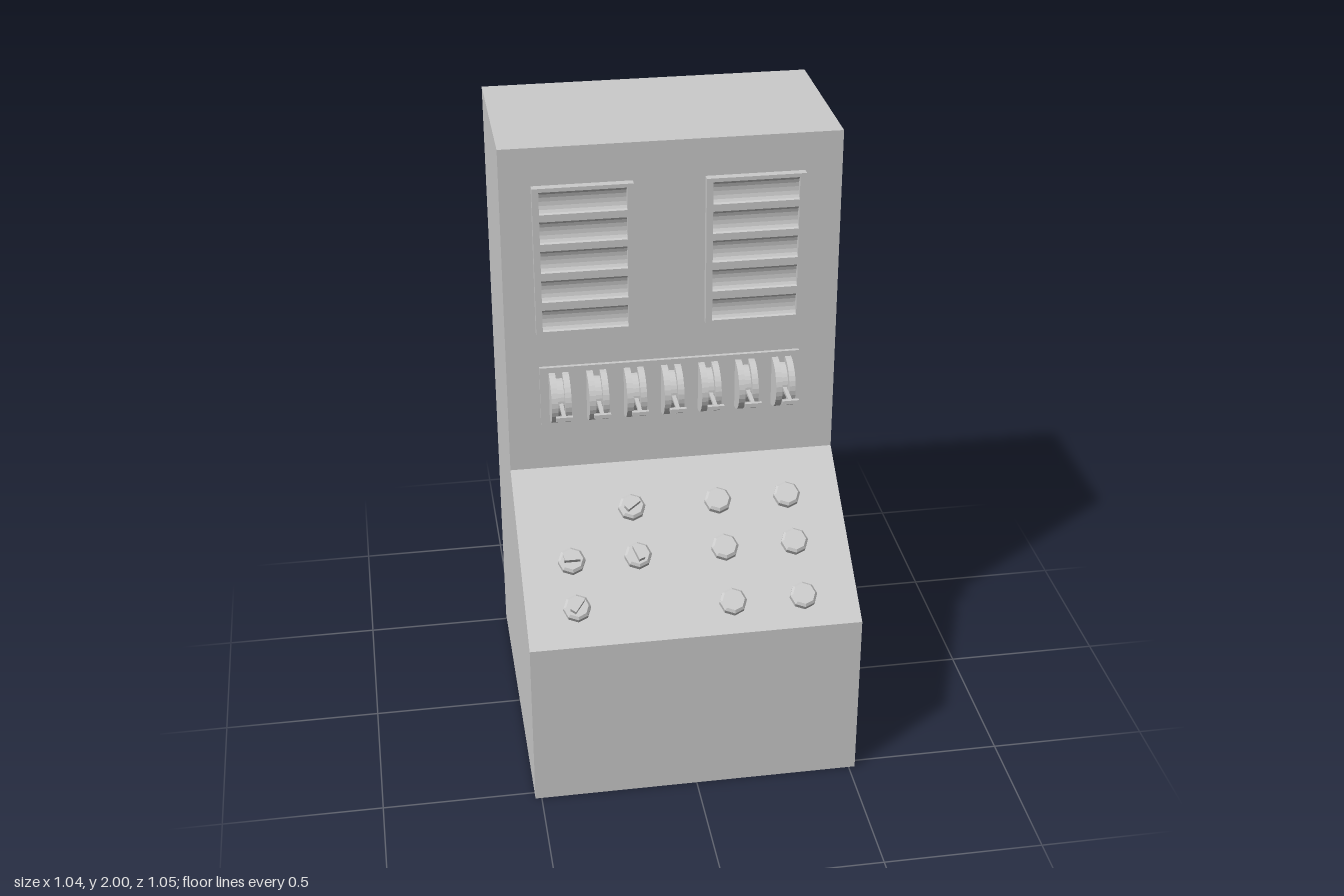
import * as THREE from 'three';

const mat = new THREE.MeshStandardMaterial({ color: 0xcccccc, flatShading: true });
const shell = new THREE.MeshStandardMaterial({ color: 0xcccccc, flatShading: true, side: THREE.DoubleSide });
const smooth = new THREE.MeshStandardMaterial({ color: 0xcccccc });

const HALF = 0.52;      // half width of the cabinet
const FRONT = 0.03;     // z of the upright front wall
const TILT = Math.atan2(0.355, 0.5);

function add(parent, name, geometry, x = 0, y = 0, z = 0, material = mat) {
  const mesh = new THREE.Mesh(geometry, material);
  mesh.name = name;
  mesh.position.set(x, y, z);
  parent.add(mesh);
  return mesh;
}

function group(parent, name, x = 0, y = 0, z = 0) {
  const g = new THREE.Group();
  g.name = name;
  g.position.set(x, y, z);
  parent.add(g);
  return g;
}

// Extrude a (z, y) profile along x, centred on x = 0
function extrudeX(shape, width) {
  const geo = new THREE.ExtrudeGeometry(shape, { depth: width, bevelEnabled: false, curveSegments: 8 });
  return geo.translate(0, 0, -width / 2).rotateY(-Math.PI / 2).scale(1, 1, 1);
}

// Hollow cabinet, open underneath
function cabinet(parent) {
  const profile = [[0.53, 0], [0.53, 0.565], [FRONT, 0.92], [FRONT, 2], [-0.525, 2], [-0.525, 0]];
  const body = group(parent, 'cabinet');
  const pos = [];
  for (let i = 0; i < profile.length - 1; i++) {
    const [z0, y0] = profile[i], [z1, y1] = profile[i + 1];
    const a = [-HALF, y0, z0], b = [HALF, y0, z0], c = [HALF, y1, z1], d = [-HALF, y1, z1];
    pos.push(...a, ...b, ...c, ...a, ...c, ...d);
  }
  const walls = new THREE.BufferGeometry();
  walls.setAttribute('position', new THREE.Float32BufferAttribute(pos, 3));
  walls.computeVertexNormals();
  add(body, 'cabinetWalls', walls, 0, 0, 0, shell);
  const side = new THREE.Shape(profile.map(([z, y]) => new THREE.Vector2(-z, y)));
  add(body, 'leftSide', new THREE.ShapeGeometry(side).rotateY(Math.PI / 2), HALF, 0, 0, shell);
  const mirrored = new THREE.Shape(profile.map(([z, y]) => new THREE.Vector2(z, y)));
  add(body, 'rightSide', new THREE.ShapeGeometry(mirrored).rotateY(-Math.PI / 2), -HALF, 0, 0, shell);
}

// Vent: a slab with scooped horizontal slots between two side rails
function vent(parent, x) {
  const g = group(parent, 'vent', x, 0, FRONT);
  const depth = 0.025, half = 0.036;
  const slab = new THREE.Shape();
  slab.moveTo(0, 1.4);
  slab.lineTo(depth, 1.4);
  for (const y of [1.447, 1.545, 1.642, 1.737, 1.832]) {
    slab.lineTo(depth, y - half);
    slab.bezierCurveTo(0.001, y - half, 0.001, y + half, depth, y + half);
  }
  slab.lineTo(depth, 1.88);
  slab.lineTo(0, 1.88);
  add(g, 'ventSlots', extrudeX(slab, 0.265), 0, 0, 0, smooth);
  for (const s of [-1, 1]) {
    add(g, 'ventRail', new THREE.BoxGeometry(0.02, 0.48, depth), s * 0.1425, 1.64, depth / 2);
  }
}

// Half-round piece standing out towards +z
function halfDisc(radius, width) {
  const s = new THREE.Shape();
  s.moveTo(0, -radius);
  s.absarc(0, 0, radius, -Math.PI / 2, Math.PI / 2, false);
  s.lineTo(0, -radius);
  return extrudeX(s, width);
}

// Lever switch: two round cheeks, a recessed core and a T-shaped lever
function leverSwitch(parent, x) {
  const g = group(parent, 'leverSwitch', x, 1.18, 0.042);
  for (const s of [-1, 1]) add(g, 'cheek', halfDisc(0.082, 0.02), s * 0.021, 0, 0);
  add(g, 'core', halfDisc(0.062, 0.022));
  add(g, 'lever', new THREE.BoxGeometry(0.012, 0.01, 0.11), 0, 0, 0.095);
  add(g, 'leverGrip', new THREE.BoxGeometry(0.052, 0.012, 0.012), 0, 0, 0.15);
}

// Octagonal button with a chamfered top, seated on the sloping desk
function button(parent, name, x, z) {
  const g = group(parent, name, x, 0.92 - (z - FRONT) * 0.71, z);
  g.rotation.x = TILT;
  add(g, 'buttonBase', new THREE.CylinderGeometry(0.043, 0.043, 0.02, 8), 0, 0.008, 0);
  add(g, 'buttonCap', new THREE.CylinderGeometry(0.035, 0.043, 0.008, 8), 0, 0.022, 0);
  return g;
}

// Button with a grip bar turned to an angle
function knob(parent, x, z, angle) {
  const g = button(parent, 'knob', x, z);
  add(g, 'knobGrip', new THREE.BoxGeometry(0.05, 0.02, 0.02), 0, 0.034, 0).rotation.y = angle;
}

export function createModel() {
  const model = new THREE.Group();
  model.name = 'controlConsole';
  cabinet(model);

  for (const x of [-0.272, 0.253]) vent(model, x);

  // Switch row
  add(model, 'switchPlate', new THREE.BoxGeometry(0.82, 0.2, 0.012), -0.008, 1.18, FRONT + 0.006);
  for (let i = -3; i <= 3; i++) leverSwitch(model, -0.007 + i * 0.1175);

  // Desk controls
  for (const x of [0.124, 0.347]) {
    for (const z of [0.165, 0.297, 0.447]) button(model, 'button', x, z);
  }
  knob(model, -0.152, 0.165, 0.6);
  knob(model, -0.152, 0.3, -1.25);
  knob(model, -0.361, 0.3, 0);
  knob(model, -0.361, 0.428, 0.9);
  return model;
}
